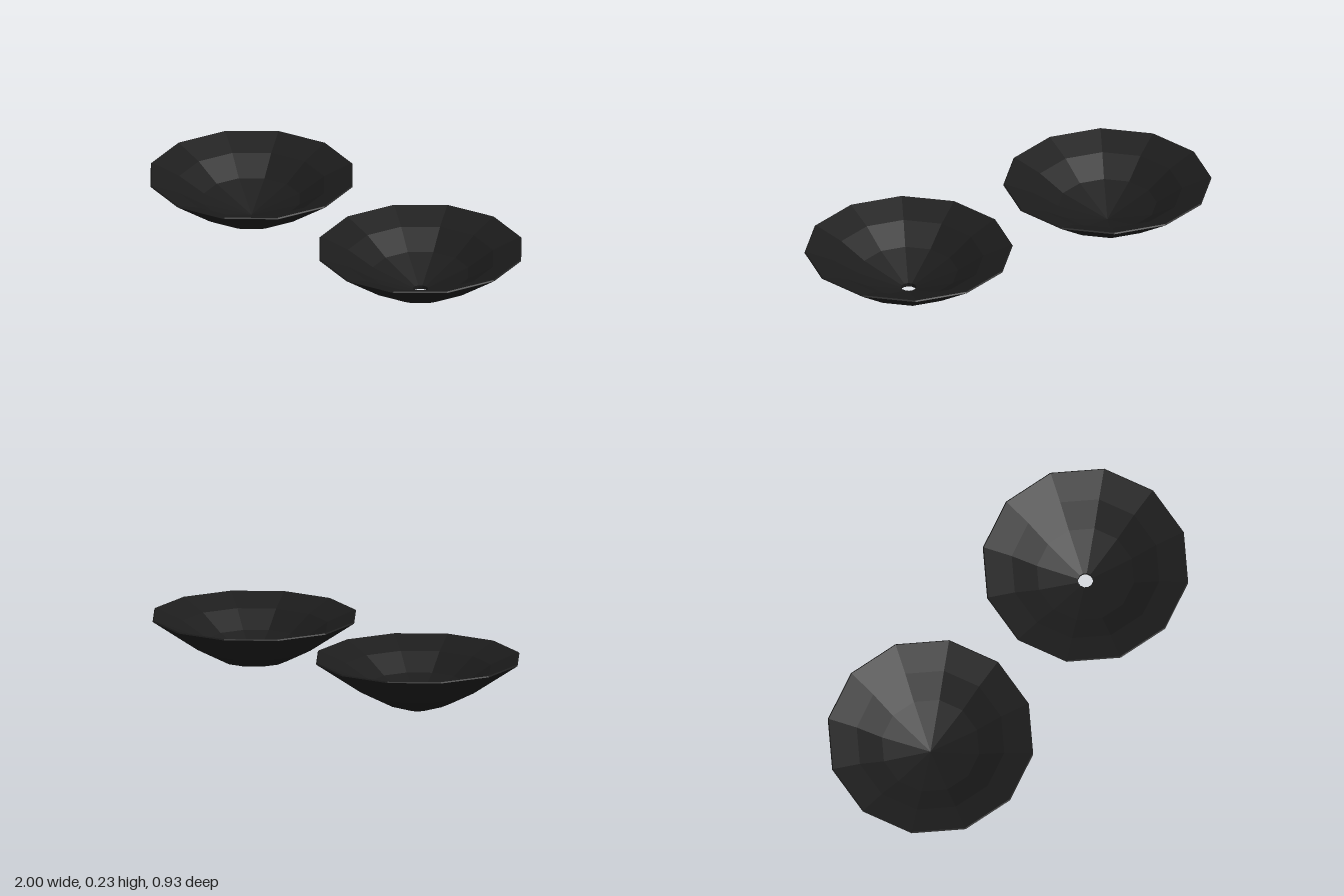
import * as THREE from 'three';

const SIDES = 12;
const material = new THREE.MeshStandardMaterial({ color: 0x1c1c1c, flatShading: true });

// Outer wall from near the base up to the lip, then the stepped inner slopes back down
const wall = [
  [0.155, 0.036], [0.26, 0.09], [0.465, 0.23], [0.46, 0.235],
  [0.334, 0.185], [0.22, 0.113],
];

function makeBowl(name, base, floor, x) {
  const points = [...base, ...wall, ...floor].map(([r, y]) => new THREE.Vector2(r, y));
  const bowl = new THREE.Mesh(new THREE.LatheGeometry(points, SIDES), material);
  bowl.name = name;
  bowl.position.x = x;
  return bowl;
}

export function createModel() {
  const model = new THREE.Group();
  model.name = 'bowlPair';

  // Closed bowl with a small flat foot
  model.add(makeBowl('closedBowl', [[0, 0], [0.047, 0]], [[0, 0.035]], -0.533));

  // Bowl with a round hole through its base; the profile loops back to close the hole wall
  model.add(makeBowl('drainBowl', [[0.034, 0.018], [0.05, 0.018]],
    [[0.034, 0.035], [0.034, 0.018]], 0.533));

  return model;
}
